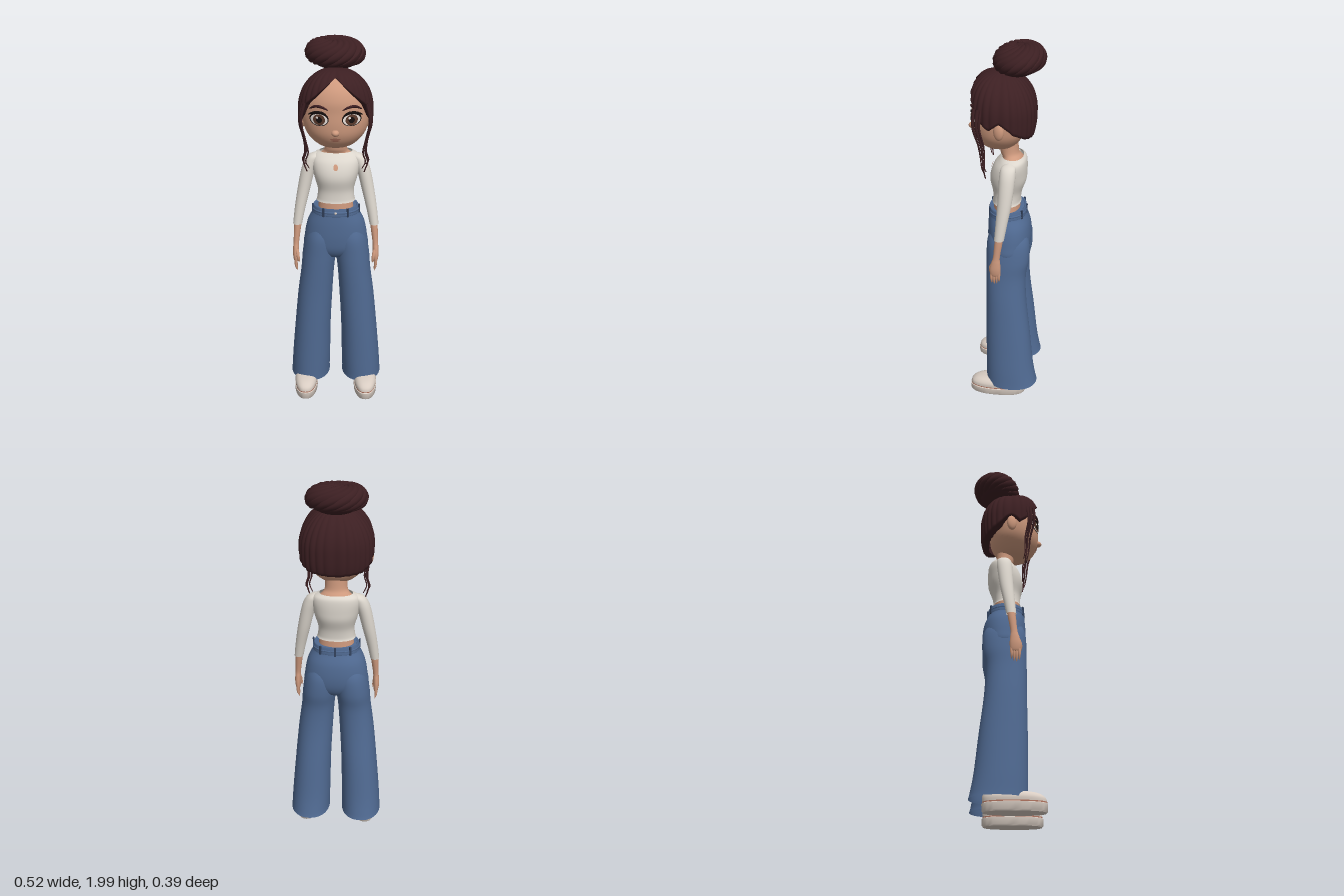
import * as THREE from 'three';
import { toCreasedNormals } from 'three/addons/utils/BufferGeometryUtils.js';

const material = (name, color, side = THREE.FrontSide) => {
  const m = new THREE.MeshStandardMaterial({ color, side });
  m.name = name;
  return m;
};

// Skin over closed rows of points, listed from bottom to top
function grid(rows) {
  const n = rows[0].length, index = [];
  for (let i = 0; i < rows.length - 1; i++) {
    for (let j = 0; j < n; j++) {
      const k = (j + 1) % n, a = i * n, b = a + n;
      index.push(a + j, a + k, b + k, a + j, b + k, b + j);
    }
  }
  const g = new THREE.BufferGeometry();
  g.setAttribute('position', new THREE.Float32BufferAttribute(rows.flat(2), 3));
  g.setIndex(index);
  g.computeVertexNormals();
  return g;
}

// Smoothly resample rings of [y, x, z, radiusX, radiusZ]
function smooth(rings, sub = 5) {
  const out = [], at = i => rings[Math.min(Math.max(i, 0), rings.length - 1)];
  for (let i = 0; i < rings.length - 1; i++) {
    for (let s = 0; s < sub; s++) {
      const t = s / sub, [p, q, r, w] = [at(i - 1), at(i), at(i + 1), at(i + 2)];
      out.push(q.map((v, k) => v + 0.5 * t * (r[k] - p[k] +
        t * (2 * p[k] - 5 * v + 4 * r[k] - w[k] + t * (3 * (v - r[k]) + w[k] - p[k])))));
    }
  }
  out.push(rings[rings.length - 1]);
  return out;
}

const spow = (v, e) => Math.sign(v) * Math.abs(v) ** e;
function loft(rings, power = 2, seg = 40) {
  return grid(rings.map(([y, x, z, rx, rz]) => Array.from({ length: seg }, (_, j) => {
    const a = j / seg * Math.PI * 2;
    return [x + Math.max(rx, 0) * spow(Math.sin(a), 2 / power), y,
      z + Math.max(rz, 0) * spow(Math.cos(a), 2 / power)];
  })));
}

// Front surface depth of a lofted part
function frontZ(rings, x, y) {
  let i = 0;
  while (i < rings.length - 2 && rings[i + 1][0] < y) i++;
  const a = rings[i], b = rings[i + 1], t = (y - a[0]) / (b[0] - a[0]);
  const [, cx, cz, rx, rz] = a.map((v, k) => v + (b[k] - v) * t);
  return cz + rz * Math.sqrt(Math.max(0, 1 - ((x - cx) / rx) ** 2));
}

// Thin oval lying on a lofted surface
function decal(rings, x, y, w, h, lift) {
  const g = new THREE.RingGeometry(0.001, 1, 32, 6), p = g.attributes.position;
  for (let i = 0; i < p.count; i++) {
    const px = x + p.getX(i) * w, py = y + p.getY(i) * h;
    p.setXYZ(i, px, py, frontZ(rings, px, py) + lift);
  }
  g.computeVertexNormals();
  return g;
}

// Tube whose thickness follows width(t)
function lock(points, radius, width, seg = 20, sides = 8) {
  const curve = new THREE.CatmullRomCurve3(points.map(p => new THREE.Vector3(...p)));
  const g = new THREE.TubeGeometry(curve, seg, radius, sides), p = g.attributes.position;
  const v = new THREE.Vector3();
  for (let i = 0; i < p.count; i++) {
    const t = Math.floor(i / (sides + 1)) / seg, c = curve.getPointAt(t);
    v.fromBufferAttribute(p, i).sub(c).multiplyScalar(width(t)).add(c);
    p.setXYZ(i, v.x, v.y, v.z);
  }
  g.computeVertexNormals();
  return g;
}
const spindle = t => Math.sqrt(Math.max(0.02, Math.sin(Math.PI * t)));
const tip = t => Math.sqrt(Math.max(0.02, 1 - t * t));

function hairCap() {
  // Height of the hairline, from the front parting round to the nape
  const line = [[0, 1.83], [0.25, 1.785], [0.5, 1.745], [0.8, 1.705], [1.1, 1.64], [1.35, 1.61],
    [1.57, 1.645], [1.9, 1.59], [2.4, 1.555], [3.15, 1.54]];
  const seg = 224, steps = 22, rows = [];
  for (let r = -1; r <= steps; r++) {
    rows.push(Array.from({ length: seg }, (_, j) => {
      const a = j / seg * Math.PI * 2, d = Math.min(a, Math.PI * 2 - a);
      const k = Math.max(1, line.findIndex(l => l[0] >= d));
      const [a0, y0] = line[k - 1], [a1, y1] = line[k];
      const edge = y0 + (y1 - y0) * (d - a0) / (a1 - a0);
      const low = Math.asin((edge - 1.66) / 0.2);
      const h = Math.sin(low + (Math.PI / 2 - low) * Math.max(r, 0) / steps);
      const p = h < 0 ? 3 : 2 + 0.8 * Math.max(0, Math.cos(a));
      let f = Math.max(0, 1 - Math.abs(h) ** p) ** (1 / p);
      f *= (0.985 + 0.03 * Math.abs(Math.sin(14 * a))) * (1 - 0.06 * Math.exp(-((d / 0.07) ** 2)));
      if (r < 0) f *= 0.78;
      return [0.188 * f * spow(Math.sin(a), 0.8), 1.66 + 0.2 * h,
        0.015 + 0.168 * f * spow(Math.cos(a), 0.8)];
    }));
  }
  return grid(rows);
}

export function createModel() {
  const model = new THREE.Group();
  model.name = 'woman';
  const both = THREE.DoubleSide;
  const skin = material('skin', 0xcf9a7e), hair = material('dark brown hair', 0x3c1f22, both);
  const knit = material('cream knit', 0xdcd6cd, both), denim = material('blue denim', 0x506a92, both);
  const navy = material('dark denim', 0x33435f), shoe = material('shoe cream', 0xd8ccc2);
  const white = material('eye white', 0xeee6e0), iris = material('brown iris', 0x5a3a2c);
  const black = material('black', 0x17100f), lip = material('lip', 0xb0735f);
  const add = (name, geo, mat) => {
    const m = new THREE.Mesh(geo, mat);
    m.name = name;
    model.add(m);
    return m;
  };
  const ball = (name, mat, pos, size) => {
    const m = add(name, new THREE.SphereGeometry(1, 24, 16), mat);
    m.position.set(...pos);
    m.scale.set(...size);
    return m;
  };

  // Head, neck and face
  const head = smooth([[1.458, 0, 0.03, 0, 0], [1.47, 0, 0.032, 0.07, 0.066], [1.5, 0, 0.035, 0.115, 0.105],
    [1.545, 0, 0.035, 0.15, 0.13], [1.6, 0, 0.035, 0.166, 0.138], [1.66, 0, 0.032, 0.169, 0.14],
    [1.72, 0, 0.03, 0.163, 0.14], [1.78, 0, 0.02, 0.138, 0.125], [1.83, 0, 0.01, 0.08, 0.08], [1.848, 0, 0, 0, 0]]);
  add('head', loft(head, 2, 56), skin);
  add('neck', loft(smooth([[1.395, 0, -0.035, 0.095, 0.058], [1.415, 0, -0.03, 0.07, 0.05],
    [1.44, 0, -0.018, 0.058, 0.048], [1.5, 0, -0.012, 0.058, 0.05]])), skin);
  ball('nose', skin, [0, 1.567, 0.168], [0.02, 0.017, 0.024]);
  add('upperLip', decal(head, 0, 1.534, 0.027, 0.005, 0.003), lip);
  add('lowerLip', decal(head, 0, 1.525, 0.021, 0.006, 0.002), lip);

  // Hair: cap and swirled bun
  add('hairCap', hairCap(), hair);
  const bun = new THREE.Group();
  bun.name = 'bun';
  bun.position.set(0, 1.912, -0.062);
  bun.rotation.x = 0.08;
  model.add(bun);
  const core = new THREE.Mesh(new THREE.SphereGeometry(1, 32, 20), hair);
  core.name = 'bunCore';
  core.scale.set(0.132, 0.075, 0.112);
  bun.add(core);
  for (let k = 0; k < 15; k++) {
    const path = [];
    for (let i = 0; i <= 8; i++) {
      const t = i / 8, polar = 2.2 - 2.0 * t, turn = k / 15 * Math.PI * 2 + 2.3 * t;
      path.push([0.13 * Math.sin(polar) * Math.sin(turn) - 0.03 * t * t, 0.07 * Math.cos(polar),
        0.108 * Math.sin(polar) * Math.cos(turn) - 0.01 * t]);
    }
    const m = new THREE.Mesh(lock(path, 0.026, spindle, 28, 10), hair);
    m.name = 'bunLock';
    bun.add(m);
  }

  // Top
  const torso = smooth([[1.155, 0, -0.005, 0.103, 0.076], [1.172, 0, -0.005, 0.098, 0.073],
    [1.22, 0, -0.008, 0.096, 0.077], [1.28, 0, -0.012, 0.112, 0.094], [1.325, 0, -0.016, 0.122, 0.094],
    [1.37, 0, -0.025, 0.126, 0.085], [1.4, 0, -0.035, 0.115, 0.07], [1.416, 0, -0.036, 0.086, 0.055]]);
  add('sweater', loft(torso, 2.2), knit);
  add('keyhole', decal(torso, 0, 1.355, 0.012, 0.016, 0.006), skin);
  add('midriff', loft([[1.1, 0, -0.005, 0.095, 0.07], [1.15, 0, -0.005, 0.09, 0.068],
    [1.2, 0, -0.006, 0.085, 0.066]]), skin);

  // Trousers: hips, waistband, button and belt loops
  add('hips', loft(smooth([[0.825, 0, -0.02, 0, 0], [0.835, 0, -0.02, 0.08, 0.07], [0.88, 0, -0.02, 0.168, 0.105],
    [0.95, 0, -0.021, 0.168, 0.116], [1.03, 0, -0.018, 0.152, 0.112], [1.09, 0, -0.01, 0.123, 0.098],
    [1.115, 0, -0.01, 0.117, 0.094], [1.12, 0, -0.01, 0, 0]]), 2.2, 48), denim);
  add('waistband', loft([[1.085, 0, -0.01, 0.122, 0.098], [1.092, 0, -0.01, 0.126, 0.101],
    [1.124, 0, -0.01, 0.12, 0.098], [1.13, 0, -0.01, 0.116, 0.094], [1.122, 0, -0.01, 0.108, 0.086]], 2.2, 48), denim);
  for (const a of [0.5, 1.4, 2.5, Math.PI, -2.5, -1.4, -0.5]) {
    const m = add('beltLoop', new THREE.BoxGeometry(0.011, 0.048, 0.008), navy);
    m.position.set(0.125 * spow(Math.sin(a), 0.91), 1.108, -0.01 + 0.1 * spow(Math.cos(a), 0.91));
    m.rotation.y = a;
  }
  ball('button', shoe, [0, 1.108, 0.09], [0.007, 0.007, 0.004]);

  // Mirrored parts
  for (const s of [1, -1]) {
    const x = 0.08 * s;
    add('eyeOutline', decal(head, x, 1.635, 0.048, 0.034, 0.002), black);
    add('eyeWhite', decal(head, x, 1.633, 0.043, 0.028, 0.004), white);
    add('iris', decal(head, x, 1.633, 0.03, 0.027, 0.006), iris);
    add('pupil', decal(head, x, 1.633, 0.015, 0.015, 0.0075), black);
    add('eyeGlint', decal(head, x - 0.01, 1.644, 0.006, 0.006, 0.009), white);
    const onFace = pts => pts.map(([px, py]) => [px * s, py, frontZ(head, px, py) + 0.003]);
    add('eyebrow', lock(onFace([[0.035, 1.682], [0.06, 1.694], [0.095, 1.698], [0.13, 1.68]]), 0.007, spindle), hair);
    add('eyelash', lock(onFace([[0.035, 1.648], [0.06, 1.667], [0.1, 1.667], [0.136, 1.65]]), 0.006, spindle), black);
    ball('ear', skin, [0.168 * s, 1.603, 0.018], [0.018, 0.045, 0.027]).rotation.y = -0.3 * s;

    // Loose locks beside the face
    [[0, 0, 0.01], [-0.012, 0.02, 0.008], [0.006, -0.016, 0.007]].forEach(([dx, dz, r], k) => {
      add('looseLock', lock([[0.158, 1.71, 0.12], [0.176, 1.62, 0.125], [0.158, 1.52, 0.105],
        [0.15, 1.45, 0.1], [0.163, 1.4, 0.095], [0.146, 1.34 + 0.02 * k, 0.088]]
        .map(([a, b, c], i) => [s * (a + dx * (i > 2 ? 1 : 0.5)), b, c + dz * (1 - i / 8)]), r, t => 1.05 - 0.75 * t, 32), hair);
    });

    // Arm and hand
    add('sleeve', loft(smooth([[1.02, 0.205, 0.013, 0.024, 0.026], [1.1, 0.192, 0.003, 0.028, 0.03],
      [1.2, 0.172, -0.01, 0.033, 0.036], [1.3, 0.15, -0.018, 0.036, 0.04], [1.36, 0.13, -0.022, 0.038, 0.041],
      [1.395, 0.112, -0.025, 0.03, 0.034], [1.41, 0.1, -0.027, 0, 0]].map(r => r.with(1, r[1] * s))), 2, 28), knit);
    add('forearmAndPalm', loft(smooth([[0.8, 0.215, 0.033, 0, 0], [0.81, 0.215, 0.033, 0.011, 0.024],
      [0.845, 0.216, 0.033, 0.016, 0.029], [0.885, 0.215, 0.03, 0.016, 0.024], [0.92, 0.213, 0.026, 0.015, 0.018],
      [1.0, 0.206, 0.016, 0.019, 0.021], [1.06, 0.198, 0.008, 0.02, 0.022]].map(r => r.with(1, r[1] * s))), 2, 24), skin);
    [0.013, 0.026, 0.039, 0.052].forEach((z, k) => {
      const end = [0.768, 0.756, 0.752, 0.76][k];
      add('finger', lock([[0.215 * s, 0.83, z], [0.216 * s, 0.79, z + 0.001], [0.21 * s, end, z]], 0.0085, tip, 10), skin);
    });
    add('thumb', lock([[0.21 * s, 0.88, 0.045], [0.203 * s, 0.845, 0.06], [0.198 * s, 0.81, 0.06]], 0.01, tip, 10), skin);

    // Wide trouser leg and shoe
    add('trouserLeg', loft(smooth([[0.068, 0.147, -0.05, 0.111, 0.143], [0.1, 0.146, -0.046, 0.109, 0.139],
      [0.2, 0.141, -0.037, 0.107, 0.131], [0.4, 0.13, -0.026, 0.1, 0.121], [0.6, 0.115, -0.015, 0.095, 0.109],
      [0.75, 0.1, -0.012, 0.09, 0.107], [0.85, 0.09, -0.02, 0.091, 0.115], [0.95, 0.08, -0.02, 0.083, 0.112],
      [1.02, 0.075, -0.015, 0.055, 0.085]].map(r => r.with(1, r[1] * s))), 2.15), denim);
    const foot = 0.17 * s;
    add('sole', toCreasedNormals(loft([[0, foot, 0.028, 0, 0], [0, foot, 0.028, 0.06, 0.15],
      [0.008, foot, 0.028, 0.065, 0.156], [0.042, foot, 0.028, 0.066, 0.157], [0.046, foot, 0.028, 0.06, 0.151]], 2.4), 0.8), shoe);
    add('soleSeam', loft([[0.044, foot, 0.028, 0.0625, 0.1535], [0.05, foot, 0.028, 0.0625, 0.1535]], 2.4), lip);
    add('shoeUpper', loft(smooth([[0.046, foot, 0.028, 0.062, 0.153], [0.07, foot, 0.024, 0.063, 0.15],
      [0.09, foot, 0.012, 0.052, 0.132], [0.1, foot, -0.005, 0.03, 0.09], [0.102, foot, -0.01, 0, 0]]), 2.4), shoe);
  }
  return model;
}
